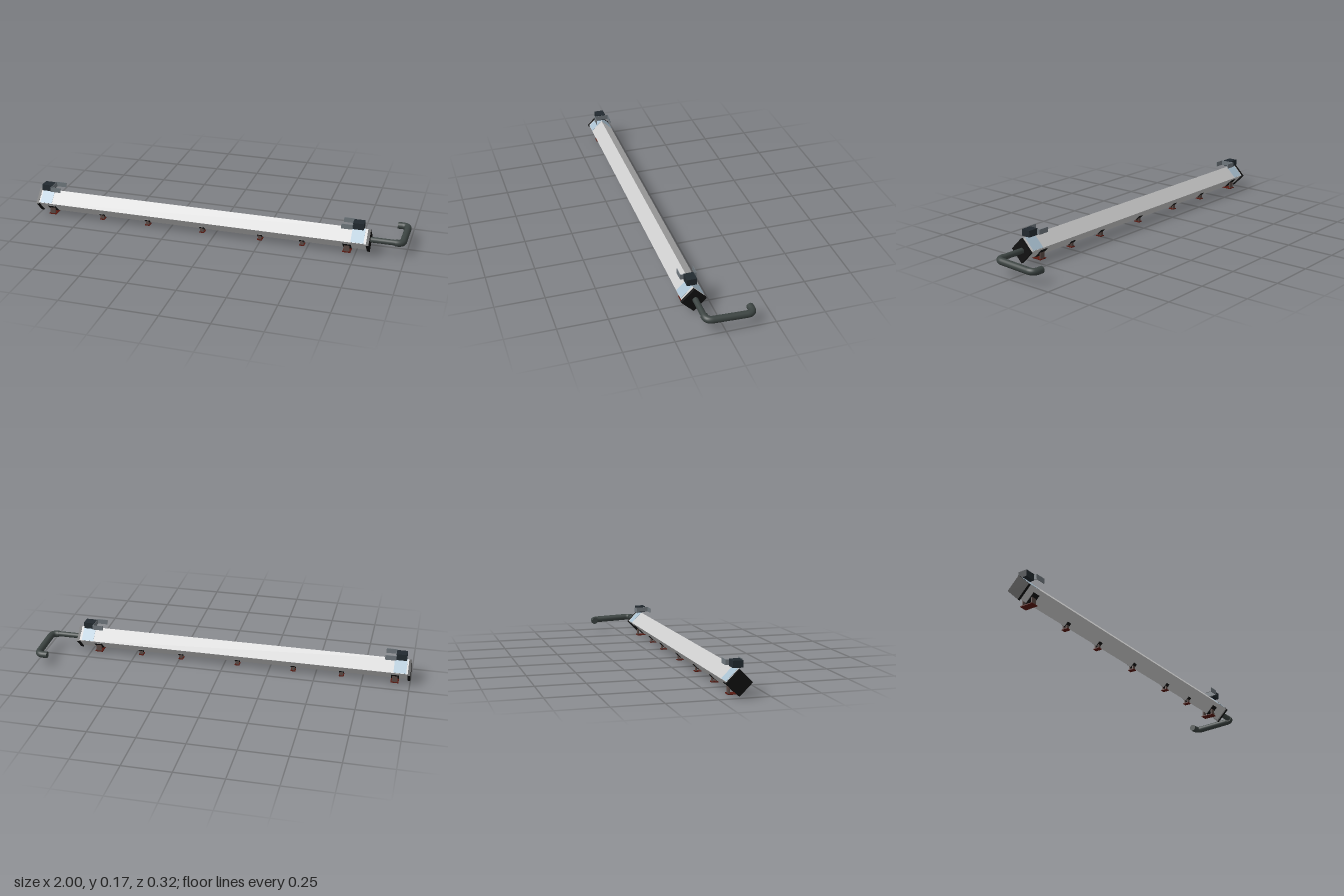
import * as THREE from 'three';

const mat = (color, side = THREE.FrontSide) => new THREE.MeshStandardMaterial({ color, side });
const GREY = mat(0xcccccc), BLACK = mat(0x111111), DARK = mat(0x222a30), BLUE = mat(0xa9c0d0);
const PLATE = mat(0x70787e), RUST = mat(0x5a1a12), LEG = mat(0x5a4a45), GRIP = mat(0x3c4442);

const CZ = 0.099;          // the bar's axis in z
const S = 0.083;           // side of the square bar

function add(parent, name, geometry, material, x = 0, y = 0, z = 0) {
  const mesh = new THREE.Mesh(geometry, material);
  mesh.name = name;
  mesh.position.set(x, y, z);
  parent.add(mesh);
  return mesh;
}
const box = (w, h, d) => new THREE.BoxGeometry(w, h, d);

// Smooth tube through straight runs joined by rounded corners
function bentTube(points, bend, radius) {
  const path = new THREE.CurvePath();
  let from = points[0];
  for (let i = 1; i < points.length - 1; i++) {
    const p = points[i];
    const a = p.clone().add(points[i - 1].clone().sub(p).setLength(bend));
    const b = p.clone().add(points[i + 1].clone().sub(p).setLength(bend));
    path.add(new THREE.LineCurve3(from, a));
    path.add(new THREE.QuadraticBezierCurve3(a, p, b));
    from = b;
  }
  path.add(new THREE.LineCurve3(from, points[points.length - 1]));
  return new THREE.TubeGeometry(path, 90, radius, 20);
}

// Sight block on the ridge; dir points towards the middle of the bar
function topBracket(x, dir) {
  const g = new THREE.Group();
  g.name = 'topBracket';
  g.position.set(x, 0.153, CZ);
  add(g, 'block', box(0.056, 0.034, 0.05), DARK);
  add(g, 'crossPlate', box(0.004, 0.026, 0.082), PLATE, dir * 0.028);
  for (const s of [-1, 1]) {
    add(g, 'sidePlate', box(0.056, 0.026, 0.003), PLATE, dir * 0.056, 0, s * 0.04);
  }
  return g;
}

// Clamp under the bar: pads on both lower faces, two legs and a foot plate
function clamp(x, width, padLength, footDepth, footY) {
  const g = new THREE.Group();
  g.name = 'clamp';
  g.position.set(x, 0, CZ);
  const cradle = new THREE.Group();
  cradle.name = 'cradle';
  cradle.position.y = 0.076;
  cradle.rotation.x = Math.PI / 4;
  const off = S / 2 - padLength / 2;
  add(cradle, 'frontPad', box(width, padLength, 0.005), BLACK, 0, -off, S / 2 + 0.001);
  add(cradle, 'backPad', box(width, 0.005, padLength), BLACK, 0, -S / 2 - 0.001, off);
  g.add(cradle);
  const legZ = footDepth / 2 - 0.008;
  const top = 0.019 + legZ;
  for (const s of [-1, 1]) {
    add(g, 'leg', box(width * 0.7, top - footY, 0.006), LEG, 0, (top + footY) / 2, s * legZ);
  }
  add(g, 'footPlate', box(width, 0.004, footDepth), RUST, 0, footY, 0);
  return g;
}

export function createModel() {
  const model = new THREE.Group();
  model.name = 'crankedBar';

  // Square bar standing on its edge
  const bar = new THREE.Group();
  bar.name = 'bar';
  bar.position.set(0, 0.076, CZ);
  bar.rotation.x = Math.PI / 4;
  model.add(bar);
  add(bar, 'barBody', box(1.8, S, S), GREY, -0.09);

  // Blue bands on the two upper faces
  for (const x of [-0.945, 0.76]) {
    add(bar, 'frontBand', box(0.066, 0.003, S - 0.004), BLUE, x, S / 2, 0);
    add(bar, 'backBand', box(0.066, S - 0.004, 0.003), BLUE, x, 0, -S / 2);
  }

  // End caps
  for (const x of [-0.993, 0.813]) {
    const cap = add(model, 'endCap', box(0.014, 0.09, 0.09), BLACK, x, 0.0715, CZ);
    cap.rotation.x = Math.PI / 4;
  }

  model.add(topBracket(-0.947, 1), topBracket(0.758, -1));

  // Large clamps at the ends, small ones between
  for (const x of [-0.92, 0.705]) model.add(clamp(x, 0.042, 0.06, 0.07, 0.007));
  for (const x of [-0.638, -0.378, -0.072, 0.243, 0.468]) model.add(clamp(x, 0.026, 0.028, 0.034, 0.002));

  // Crank: thin shaft, thicker bent handle with a closed end
  const shaft = add(model, 'crankShaft', new THREE.CylinderGeometry(0.0145, 0.0145, 0.14, 20), GRIP, 0.885, 0.075, 0.093);
  shaft.rotation.z = Math.PI / 2;
  const R = 0.018;
  const pts = [[0.945, 0.074, 0.093], [0.982, 0.073, 0.093], [0.982, 0.063, -0.142], [0.926, 0.063, -0.142]]
    .map((p) => new THREE.Vector3(...p));
  add(model, 'crankHandle', bentTube(pts, 0.034, R), GRIP);
  for (const [p, s] of [[pts[0], -1], [pts[3], -1]]) {
    const end = add(model, 'handleEnd', new THREE.CircleGeometry(R, 20), GRIP, p.x, p.y, p.z);
    end.rotation.y = s * Math.PI / 2;
  }
  return model;
}
